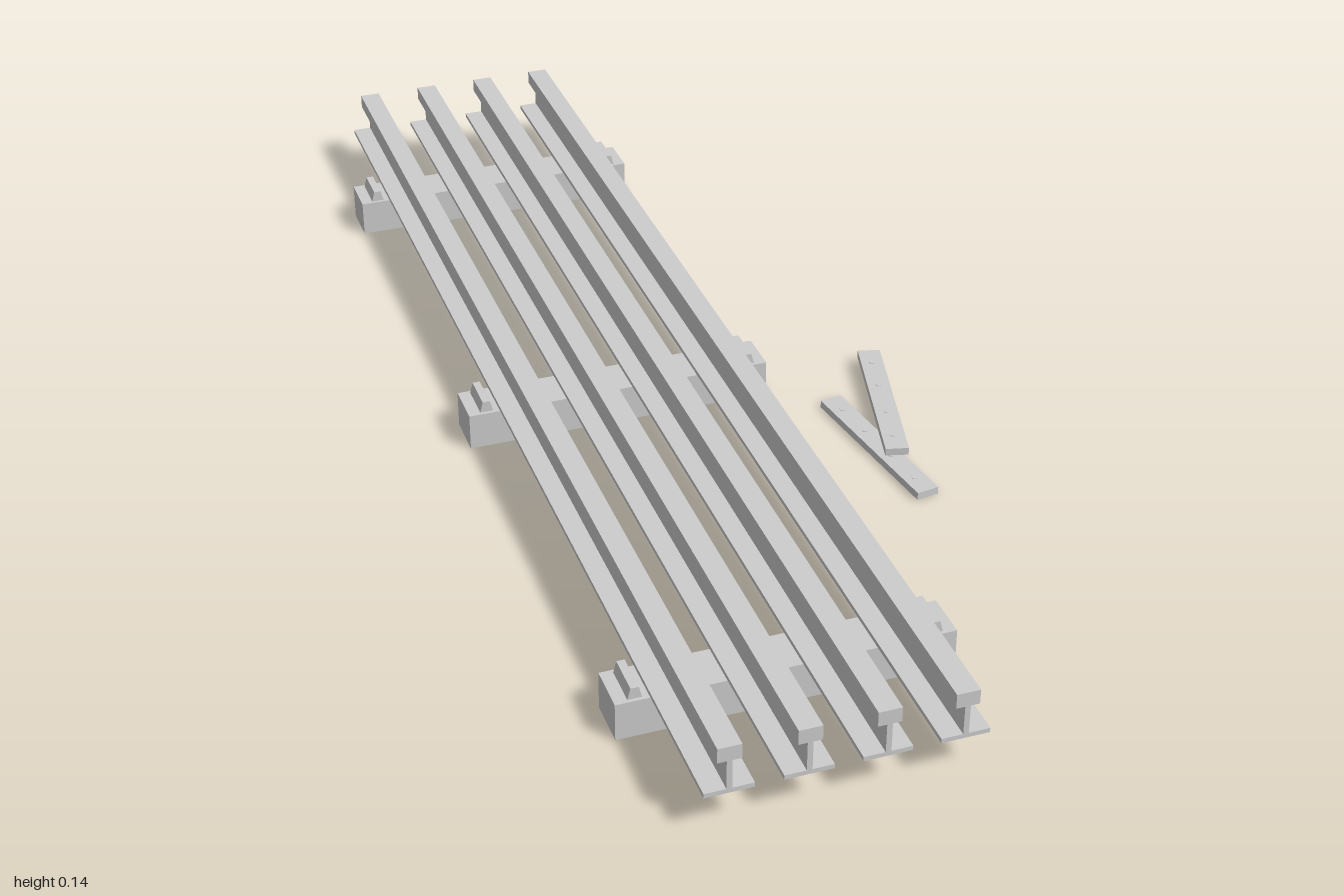
import * as THREE from 'three';

export function createModel() {
  const model = new THREE.Group();
  model.name = 'railStack';
  const steel = new THREE.MeshStandardMaterial({ color: 0xcccccc });
  steel.name = 'lightGrey';

  const add = (parent, name, geometry, x, y, z) => {
    const mesh = new THREE.Mesh(geometry, steel);
    mesh.name = name;
    mesh.position.set(x, y, z);
    parent.add(mesh);
    return mesh;
  };

  // Extrude a half profile mirrored in x, centred along z
  const extrudeMirrored = (half, depth) => {
    const left = half.map(([x, y]) => [-x, y]).reverse();
    const shape = new THREE.Shape([...half, ...left].map(([x, y]) => new THREE.Vector2(x, y)));
    return new THREE.ExtrudeGeometry(shape, { depth, bevelEnabled: false }).translate(0, 0, -depth / 2);
  };

  // Four long rails: foot, web and head
  const railGeometry = extrudeMirrored([
    [0.035, 0], [0.035, 0.007], [0.004, 0.007], [0.004, 0.053], [0.017, 0.053], [0.017, 0.076],
  ], 2);
  for (let i = 0; i < 4; i++) add(model, 'rail', railGeometry, -0.274 + i * 0.11, 0.061, 0);

  // Three sleepers, each with a tapered stop at both ends
  const sleeperGeometry = new THREE.BoxGeometry(0.5, 0.06, 0.073);
  const stopGeometry = extrudeMirrored([[0.0105, 0], [0.006, 0.018]], 0.062);
  for (const z of [-0.75, 0, 0.75]) {
    add(model, 'sleeper', sleeperGeometry, -0.109, 0.03, z);
    for (const side of [-1, 1]) add(model, 'railStop', stopGeometry, -0.109 + side * 0.22, 0.06, z);
  }

  // Two loose joint plates, one resting on the other, with four bolt marks each
  const plateGeometry = new THREE.BoxGeometry(0.037, 0.0125, 0.297);
  const boltGeometry = new THREE.CylinderGeometry(0.005, 0.005, 0.001, 8);
  const addPlate = (name, x, y, z, angle) => {
    const plate = new THREE.Group();
    plate.name = name;
    plate.position.set(x, y, z);
    plate.rotation.y = angle;
    add(plate, 'plate', plateGeometry, 0, 0, 0);
    for (const bz of [-0.11, -0.04, 0.04, 0.11]) add(plate, 'boltMark', boltGeometry, 0, 0.0065, bz);
    model.add(plate);
  };
  addPlate('lowerJointPlate', 0.251, 0.00625, 0.249, 0.145);
  addPlate('upperJointPlate', 0.301, 0.0193, 0.148, -0.245);

  return model;
}
